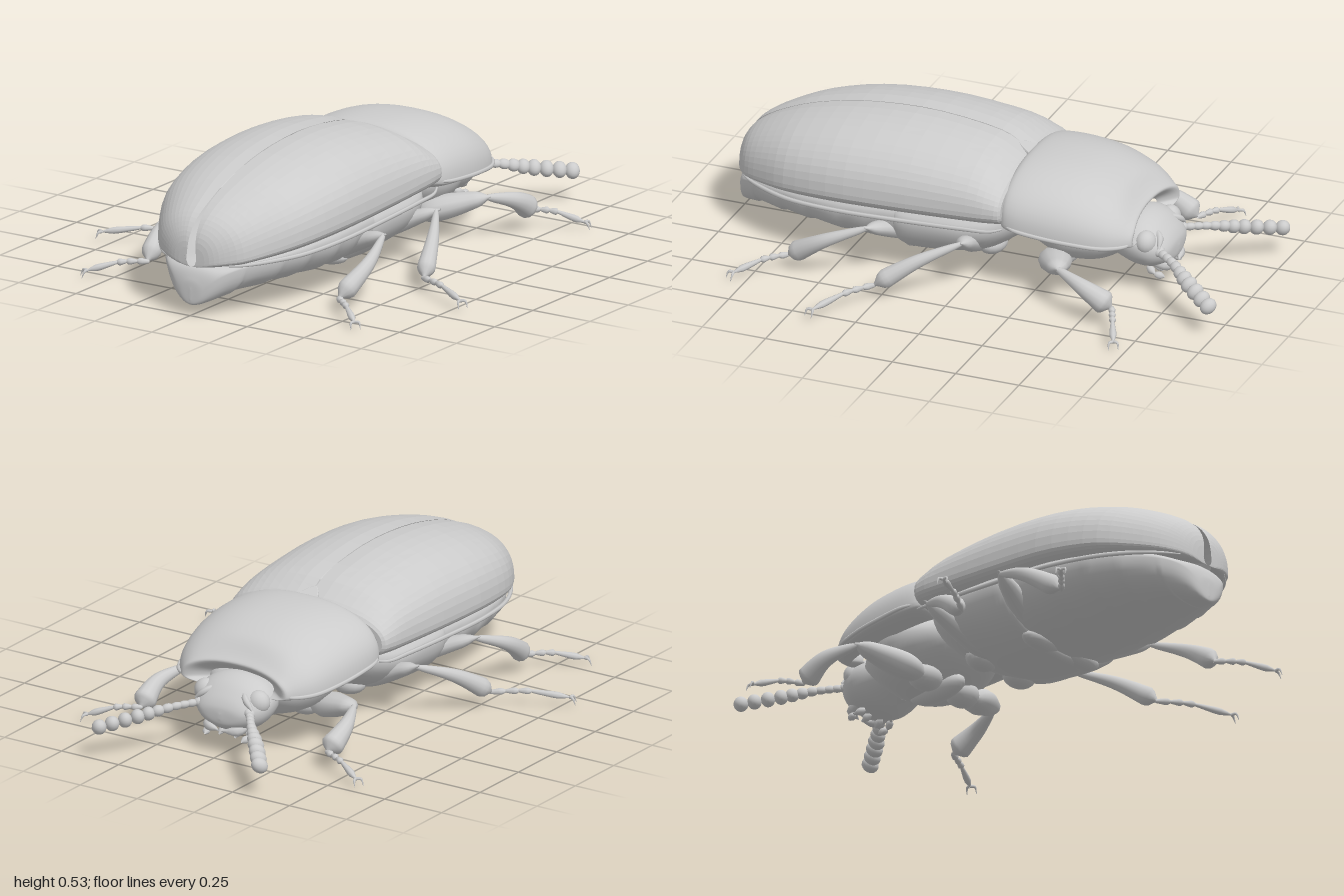
import * as THREE from 'three';
import { mergeVertices } from 'three/addons/utils/BufferGeometryUtils.js';

const smooth = new THREE.MeshStandardMaterial({ color: 0xcccccc, side: THREE.DoubleSide });
const faceted = new THREE.MeshStandardMaterial({ color: 0xcccccc, side: THREE.DoubleSide, flatShading: true });
const V = (p) => new THREE.Vector3(...p);

function add(parent, name, geometry, material = smooth) {
  const mesh = new THREE.Mesh(geometry, material);
  mesh.name = name;
  parent.add(mesh);
  return mesh;
}

// Grid surface from a rule (u along, v around)
function surface(fn, nu, nv) {
  const pos = [], idx = [];
  for (let i = 0; i <= nu; i++) for (let j = 0; j <= nv; j++) pos.push(...fn(i / nu, j / nv));
  for (let i = 0; i < nu; i++) for (let j = 0; j < nv; j++) {
    const a = i * (nv + 1) + j, b = a + nv + 1;
    idx.push(a, a + 1, b, b, a + 1, b + 1);
  }
  const g = new THREE.BufferGeometry();
  g.setAttribute('position', new THREE.Float32BufferAttribute(pos, 3));
  g.setIndex(idx);
  const merged = mergeVertices(g, 1e-5);
  merged.computeVertexNormals();
  return merged;
}

// Smoothly blended stations [z, half width, low y, widest y, high y]
function stations(rows) {
  const r = rows[0][0] > rows[rows.length - 1][0] ? [...rows].reverse() : rows;
  const a = new THREE.CatmullRomCurve3(r.map((q) => V([q[0], q[1], q[2]])), false, 'catmullrom');
  const b = new THREE.CatmullRomCurve3(r.map((q) => V([q[3], q[4], 0])), false, 'catmullrom');
  return (t) => {
    const p = a.getPoint(t), q = b.getPoint(t);
    return [p.x, Math.max(p.y, 0), p.z, q.x, q.y];
  };
}

// Body shell lofted through rounded cross-sections
function shell(rows, { power = 1, from = -Math.PI, to = Math.PI, nu = 30, nv = 32, tweak = (p) => p } = {}) {
  const at = stations(rows);
  const bulge = (c) => Math.sign(c) * Math.pow(Math.abs(c) < 1e-9 ? 0 : Math.abs(c), power);
  return surface((u, v) => {
    const [z, w, low, mid, high] = at(u);
    const a = from + (to - from) * v, s = bulge(Math.sin(a));
    return tweak([w * bulge(Math.cos(a)), mid + s * (s > 0 ? high - mid : mid - low), z], v, mid);
  }, nu, nv);
}

// Tapered elliptical limb along a curve
function limb(points, radii, flat = 1, nu = 14, nv = 10) {
  const path = new THREE.CatmullRomCurve3(points.map(V));
  const size = new THREE.SplineCurve(radii.map((r, i) => new THREE.Vector2(i, r)));
  return surface((u, v) => {
    const p = path.getPoint(u), t = path.getTangent(u);
    const side = new THREE.Vector3().crossVectors(t, V([0, 1, 0])).normalize();
    const n = new THREE.Vector3().crossVectors(t, side);
    const r = Math.max(size.getPoint(u).y, 0.0005), a = v * Math.PI * 2;
    return p.addScaledVector(side, r * flat * Math.cos(a)).addScaledVector(n, r * Math.sin(a)).toArray();
  }, nu, nv);
}

function ellipsoid(parent, name, center, radii) {
  const mesh = add(parent, name, new THREE.SphereGeometry(1, 18, 12));
  mesh.position.set(...center);
  mesh.scale.set(...radii);
  return mesh;
}

// Leg: stout femur, tibia flaring to a blunt end, jointed foot and two claws
function leg(name, { hip, knee, ankle, toe, thick, shin, bow }) {
  const g = new THREE.Group();
  g.name = name;
  const h = V(hip), k = V(knee), an = V(ankle), end = V(toe);
  add(g, 'femur', limb([hip, h.clone().lerp(k, 0.5).toArray(), knee],
    [0.01, 0.75, 1, 1, 0.9, 0.75, 0.55, 0.05].map((r) => r * thick), 1.3, 20, 12));
  const start = k.clone().lerp(h, 0.05), mid = k.clone().lerp(an, 0.5).add(V([bow, 0.012, 0]));
  add(g, 'tibia', limb([start.toArray(), mid.toArray(), ankle],
    [0.25, 0.4, 0.5, 0.6, 0.7, 0.8, 0.9, 1, 1, 0.05].map((r) => r * shin), 0.95, 22, 12));
  for (let i = 0; i < 4; i++) {
    const point = (t) => an.clone().lerp(end, t).add(V([0, 0.014 * Math.sin(t * Math.PI), 0])).toArray();
    const t0 = [-0.04, 0.17, 0.34, 0.5][i], t1 = [0.19, 0.36, 0.52, 1][i];
    add(g, 'footSegment', limb([point(t0), point(t1)], [0.006, 0.008, 0.011, 0.013, 0.003], 1, 8, 8));
  }
  const d = end.clone().sub(an).setY(0).normalize();
  for (const s of [-1, 1]) {
    const side = V([-d.z * s, 0, d.x * s]);
    const bend = end.clone().addScaledVector(d, 0.012).addScaledVector(side, 0.015);
    const tip = end.clone().addScaledVector(d, 0.022).addScaledVector(side, 0.018).add(V([0, -0.024, 0]));
    add(g, 'claw', limb([toe, bend.toArray(), tip.toArray()], [0.006, 0.005, 0.001], 1, 6, 6));
  }
  return g;
}

function sideParts() {
  const g = new THREE.Group();

  // Wing case with a sunken seam that opens toward the rear
  const caseRows = [
    [-0.135, 0.26, 0.28, 0.33, 0.39], [-0.145, 0.33, 0.25, 0.325, 0.43], [-0.1, 0.347, 0.24, 0.325, 0.465],
    [0, 0.352, 0.235, 0.32, 0.51], [0.25, 0.356, 0.225, 0.31, 0.539], [0.5, 0.35, 0.215, 0.3, 0.526],
    [0.7, 0.312, 0.205, 0.28, 0.485], [0.83, 0.25, 0.2, 0.255, 0.437], [0.92, 0.182, 0.195, 0.235, 0.387],
    [0.965, 0.122, 0.195, 0.225, 0.342], [0.988, 0.066, 0.195, 0.215, 0.29], [0.993, 0.005, 0.195, 0.205, 0.22]];
  add(g, 'wingCase', shell(caseRows, {
    power: 0.85, from: -1.3, to: Math.PI / 2, nu: 34, nv: 24,
    tweak: ([x, y, z], v) => [
      x + 0.002 + 0.02 * v * THREE.MathUtils.smoothstep(z, 0.83, 0.95) * THREE.MathUtils.clamp((0.45 - y) / 0.23, 0, 1),
      v > 0.99 ? y - 0.004 : y, z],
  }), faceted);
  const lip = caseRows.slice(1, 10).map(([z, w, low]) => [w * 0.955, low + 0.014, z]);
  add(g, 'wingCaseMargin', limb(lip, [0.004, 0.008, 0.008, 0.008, 0.003], 1, 36, 6));

  // Raised side margin of the pronotum
  add(g, 'pronotumMargin', limb([[0.318, 0.285, -0.155], [0.337, 0.28, -0.2], [0.338, 0.27, -0.3], [0.327, 0.26, -0.42],
    [0.297, 0.25, -0.53], [0.25, 0.25, -0.6], [0.215, 0.25, -0.612]], [0.005, 0.008, 0.008, 0.008, 0.005], 1, 30, 6));

  // Hip joints
  ellipsoid(g, 'frontCoxa', [0.1, 0.115, -0.3], [0.07, 0.05, 0.06]);
  ellipsoid(g, 'middleCoxa', [0.1, 0.1, -0.02], [0.07, 0.045, 0.055]);
  ellipsoid(g, 'hindCoxa', [0.1, 0.08, 0.27], [0.1, 0.035, 0.045]);

  // Legs
  g.add(leg('frontLeg', { hip: [0.12, 0.1, -0.27], knee: [0.385, 0.18, -0.395], ankle: [0.41, 0.08, -0.62],
    toe: [0.59, 0.04, -0.7], thick: 0.047, shin: 0.042, bow: 0.015 }));
  g.add(leg('middleLeg', { hip: [0.07, 0.08, 0.04], knee: [0.412, 0.228, -0.025], ankle: [0.535, 0.06, 0.27],
    toe: [0.785, 0.05, 0.405], thick: 0.039, shin: 0.034, bow: 0 }));
  g.add(leg('hindLeg', { hip: [0.04, 0.075, 0.25], knee: [0.428, 0.228, 0.35], ankle: [0.42, 0.06, 0.655],
    toe: [0.585, 0.035, 0.8], thick: 0.04, shin: 0.036, bow: 0.022 }));

  // Beaded antenna with a broad club
  const path = new THREE.CatmullRomCurve3([[0.11, 0.185, -0.68], [0.17, 0.178, -0.76], [0.25, 0.155, -0.85], [0.352, 0.128, -0.975]].map(V));
  const antenna = new THREE.Group();
  antenna.name = 'antenna';
  for (let i = 0; i < 11; i++) {
    const t = i / 10, r = i === 0 ? 0.022 : 0.017 + 0.016 * THREE.MathUtils.smoothstep(t, 0.25, 0.75);
    const bead = ellipsoid(antenna, 'antennaBead', path.getPoint(t).toArray(), [r, 0.022 + 0.005 * t, r * 0.85]);
    bead.quaternion.setFromUnitVectors(V([0, 1, 0]), path.getTangent(t));
  }
  g.add(antenna);

  // Eye, jaw and feelers
  ellipsoid(g, 'eye', [0.115, 0.215, -0.63], [0.045, 0.045, 0.04]);
  add(g, 'browRidge', limb([[0.06, 0.25, -0.645], [0.09, 0.23, -0.675], [0.125, 0.2, -0.685]], [0.004, 0.012, 0.012, 0.004], 1, 8, 8));
  add(g, 'mandible', limb([[0.075, 0.125, -0.65], [0.06, 0.11, -0.69], [0.008, 0.105, -0.71]], [0.02, 0.022, 0.003], 1, 8, 8));
  [[[0.07, 0.095, -0.62], [0.09, 0.08, -0.655]], [[0.09, 0.08, -0.655], [0.08, 0.07, -0.69]],
    [[0.03, 0.095, -0.63], [0.035, 0.07, -0.665]]].forEach(([a, b]) =>
    add(g, 'mouthFeeler', limb([a, b], [0.006, 0.012, 0.014, 0.003], 1, 6, 8)));
  return g;
}

export function createModel() {
  const model = new THREE.Group();
  model.name = 'beetle';

  // Domed shield behind the head, hollow beneath and along its front edge
  add(model, 'pronotum', shell([
    [-0.115, 0.22, 0.25, 0.3, 0.4], [-0.135, 0.305, 0.24, 0.29, 0.45], [-0.185, 0.333, 0.235, 0.28, 0.467],
    [-0.3, 0.337, 0.23, 0.27, 0.468], [-0.42, 0.325, 0.225, 0.26, 0.45], [-0.53, 0.295, 0.22, 0.25, 0.405],
    [-0.6, 0.247, 0.22, 0.25, 0.35], [-0.62, 0.215, 0.225, 0.25, 0.325], [-0.575, 0.14, 0.225, 0.25, 0.29]],
  { power: 0.87, from: -0.8, to: Math.PI + 0.8, nu: 40, nv: 40, tweak: ([x, y, z]) => [
    x, y, z + 0.02 * THREE.MathUtils.smoothstep(-z, 0.5, 0.6) * Math.max(0, 1 - (x / 0.2) ** 2)] }));

  // Underside of the front body
  add(model, 'prosternum', shell([
    [-0.12, 0.1, 0.2, 0.24, 0.3], [-0.2, 0.19, 0.14, 0.24, 0.33], [-0.33, 0.25, 0.09, 0.24, 0.34],
    [-0.46, 0.22, 0.1, 0.23, 0.33], [-0.56, 0.14, 0.165, 0.22, 0.27]]));
  ellipsoid(model, 'prosternalKeel', [0, 0.11, -0.33], [0.05, 0.05, 0.13]);

  // Middle body
  add(model, 'thorax', shell([
    [-0.19, 0.14, 0.19, 0.25, 0.35], [-0.1, 0.28, 0.12, 0.24, 0.36], [0, 0.325, 0.07, 0.23, 0.36],
    [0.15, 0.335, 0.042, 0.23, 0.36], [0.27, 0.33, 0.04, 0.23, 0.36], [0.3, 0.28, 0.08, 0.23, 0.34]]));

  // Abdomen with overlapping belly plates and a rounded tip
  add(model, 'abdomen', shell([
    [0.24, 0.325, 0.05, 0.235, 0.36], [0.5, 0.322, 0.062, 0.225, 0.34], [0.7, 0.28, 0.072, 0.215, 0.3],
    [0.85, 0.21, 0.07, 0.2, 0.26], [0.93, 0.15, 0.058, 0.185, 0.21], [0.975, 0.1, 0.05, 0.155, 0.19],
    [0.995, 0.05, 0.052, 0.11, 0.15], [1, 0, 0.07, 0.09, 0.11]], {
    nu: 60, nv: 36, power: 0.95,
    tweak: ([x, y, z], v, mid) => {
      const step = z < 0.9 ? ((z - 0.24) / 0.132) % 1 : 0;
      return y < mid ? [x * (1 - 0.02 * step), y + 0.07 * step * (mid - y), z] : [x, y, z];
    },
  }));

  // Small triangular plate between the wing cases
  const plate = new THREE.Shape([[-0.038, 0], [0.038, 0], [0.02, -0.035], [0, -0.055], [-0.02, -0.035]].map((p) => new THREE.Vector2(...p)));
  const scutellum = add(model, 'scutellum', new THREE.ExtrudeGeometry(plate, { depth: 0.014, bevelSize: 0.004, bevelThickness: 0.004, bevelSegments: 2 }));
  scutellum.position.set(0, 0.436, -0.13);
  scutellum.rotation.x = -Math.PI / 2 - 0.35;

  // Head
  add(model, 'head', shell([
    [-0.5, 0.13, 0.12, 0.2, 0.28], [-0.58, 0.155, 0.09, 0.2, 0.295], [-0.64, 0.152, 0.09, 0.19, 0.275],
    [-0.685, 0.12, 0.105, 0.18, 0.235], [-0.708, 0.08, 0.125, 0.17, 0.2], [-0.715, 0, 0.15, 0.16, 0.17]]));

  const left = sideParts();
  left.name = 'leftSide';
  const right = left.clone();
  right.name = 'rightSide';
  right.scale.x = -1;
  model.add(left, right);
  return model;
}
